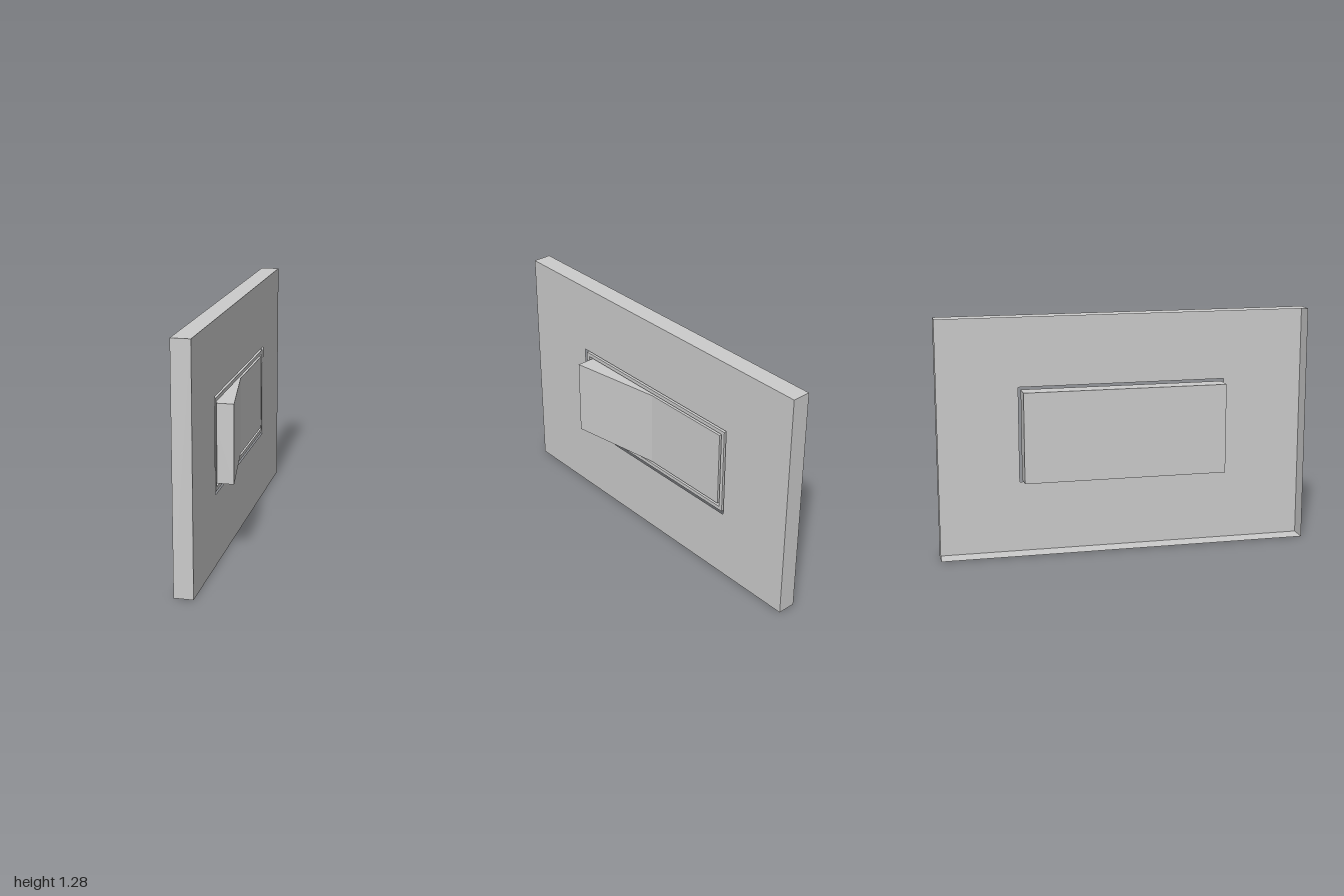
import * as THREE from 'three';

const BACK = -0.093, FACE = 0.007;      // x of the open back and of the front sheet
const DEPTH = FACE - BACK, MID = (FACE + BACK) / 2;
const HEIGHT = 1.28, CY = HEIGHT / 2;

const solid = new THREE.MeshStandardMaterial({ color: 0xcccccc, flatShading: true });
const sheet = new THREE.MeshStandardMaterial({ color: 0xcccccc, flatShading: true, side: THREE.DoubleSide });

function add(parent, name, geometry, material, x = 0, y = 0, z = 0) {
  const mesh = new THREE.Mesh(geometry, material);
  mesh.name = name;
  mesh.position.set(x, y, z);
  parent.add(mesh);
  return mesh;
}

// Rectangle outline centred on the origin
function rect(target, w, h) {
  return target.moveTo(-w / 2, -h / 2).lineTo(w / 2, -h / 2).lineTo(w / 2, h / 2).lineTo(-w / 2, h / 2).closePath();
}

// Rectangular frame shape
function frame(w, h, holeW, holeH) {
  const shape = rect(new THREE.Shape(), w, h);
  shape.holes.push(rect(new THREE.Path(), holeW, holeH));
  return shape;
}

export function createModel() {
  const model = new THREE.Group();
  model.name = 'rockerSwitch';

  // Wall plate: thin sheet with a window, four thin sides, open at the back
  const plate = new THREE.Group();
  plate.name = 'wallPlate';
  model.add(plate);
  const face = new THREE.ShapeGeometry(frame(2, HEIGHT, 1.126, 0.514)).rotateY(Math.PI / 2);
  add(plate, 'plateFace', face, sheet, FACE, CY, 0);
  for (const s of [-1, 1]) {
    const edge = new THREE.PlaneGeometry(DEPTH, 2).rotateX(-s * Math.PI / 2);
    add(plate, s > 0 ? 'plateTop' : 'plateBottom', edge, sheet, MID, CY + s * CY, 0);
    const end = new THREE.PlaneGeometry(DEPTH, HEIGHT).rotateY(s > 0 ? 0 : Math.PI);
    add(plate, s > 0 ? 'plateFrontEnd' : 'plateBackEnd', end, sheet, MID, CY, s);
  }

  // Housing: solid block behind, rim around a shallow pocket in front
  const pocket = 0.04;
  const housing = new THREE.Group();
  housing.name = 'housing';
  model.add(housing);
  const rim = new THREE.ExtrudeGeometry(frame(1.1, 0.488, 1.06, 0.446), { depth: pocket, bevelEnabled: false });
  add(housing, 'housingRim', rim.rotateY(Math.PI / 2), solid, FACE - pocket, CY, 0);
  const blockDepth = DEPTH - pocket;
  add(housing, 'housingBlock', new THREE.BoxGeometry(blockDepth, 0.488, 1.1), solid, BACK + blockDepth / 2, CY, 0);

  // Rocker: flat rear half, front half rising outwards (profile in x and -z)
  const floor = FACE - pocket, half = 0.517, rockerH = 0.42;
  const profile = new THREE.Shape([
    [floor, -half], [0.093, -half], [FACE, 0], [FACE, half], [floor, half],
  ].map(([x, y]) => new THREE.Vector2(x, y)));
  const rocker = new THREE.ExtrudeGeometry(profile, { depth: rockerH, bevelEnabled: false });
  add(model, 'rocker', rocker.rotateX(-Math.PI / 2), solid, 0, CY - rockerH / 2, 0);

  return model;
}
